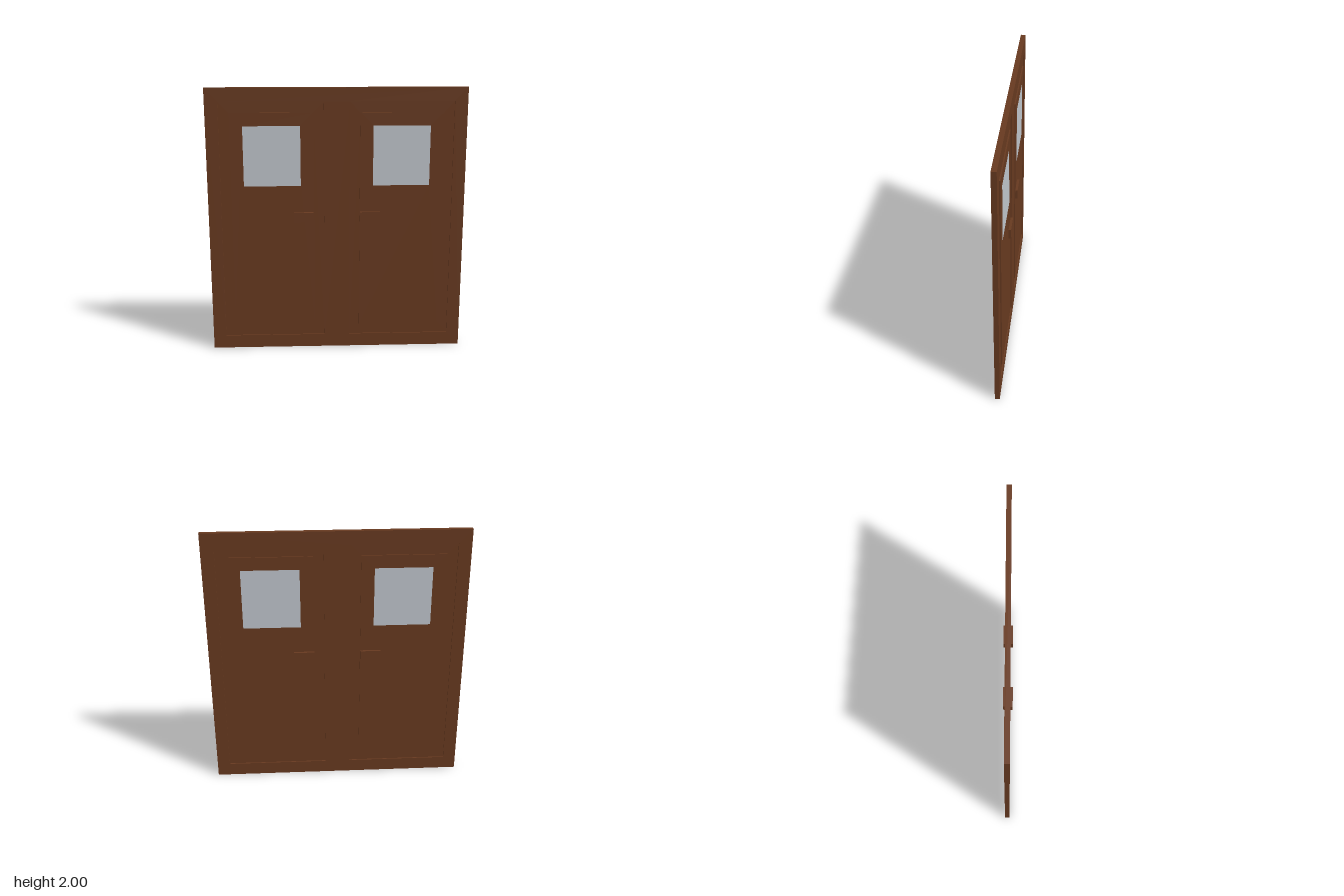
import * as THREE from 'three';

const T = 0.036; // full slab thickness

// Rectangle path given by its edges
function rect(PathType, x0, x1, y0, y1) {
  const p = new PathType();
  p.moveTo(x0, y0);
  p.lineTo(x1, y0);
  p.lineTo(x1, y1);
  p.lineTo(x0, y1);
  p.closePath();
  return p;
}

// Rectangular slab with rectangular holes, centred on z = 0
function slab(name, outer, holes, depth, material) {
  const shape = rect(THREE.Shape, ...outer);
  for (const h of holes) shape.holes.push(rect(THREE.Path, ...h));
  const geo = new THREE.ExtrudeGeometry(shape, { depth, bevelEnabled: false });
  geo.translate(0, 0, -depth / 2);
  const mesh = new THREE.Mesh(geo, material);
  mesh.name = name;
  return mesh;
}

// Edges [x0, x1, y0, y1] mirrored to the chosen side
function onSide(s, [a, b, y0, y1]) {
  return s > 0 ? [a, b, y0, y1] : [-b, -a, y0, y1];
}

export function createModel() {
  const wood = new THREE.MeshStandardMaterial({ color: 0x683a20 });
  wood.name = 'brown wood';
  const glass = new THREE.MeshStandardMaterial({ color: 0xc2c7ce });
  glass.name = 'pale glass';

  const opening = [0.095, 0.858, 0.1, 1.9];
  const panel = [0.17, 0.782, 0.183, 1.82];
  const pane = [0.267, 0.686, 1.28, 1.724];

  const model = new THREE.Group();
  model.name = 'doubleDoor';

  // Surrounding frame with one opening per door
  model.add(slab('frame', [-0.953, 0.953, 0, 2],
    [onSide(-1, opening), onSide(1, opening)], T, wood));

  for (const s of [-1, 1]) {
    const door = new THREE.Group();
    door.name = s > 0 ? 'leftDoor' : 'rightDoor';
    const inner = onSide(s, panel);
    const win = onSide(s, pane);

    // Recessed groove, raised panel and flush window
    door.add(slab('groove', onSide(s, opening), [inner], T * 0.5, wood));
    door.add(slab('panel', inner, [win], T, wood));
    door.add(slab('window', win, [], T, glass));

    // Block handles on both faces
    for (const f of [1, -1]) {
      const handle = new THREE.Mesh(new THREE.BoxGeometry(0.15, 0.076, 0.018), wood);
      handle.name = f > 0 ? 'frontHandle' : 'backHandle';
      handle.position.set(s * 0.246, 1.042, f * (T / 2 + 0.009));
      door.add(handle);
    }
    model.add(door);
  }
  return model;
}
